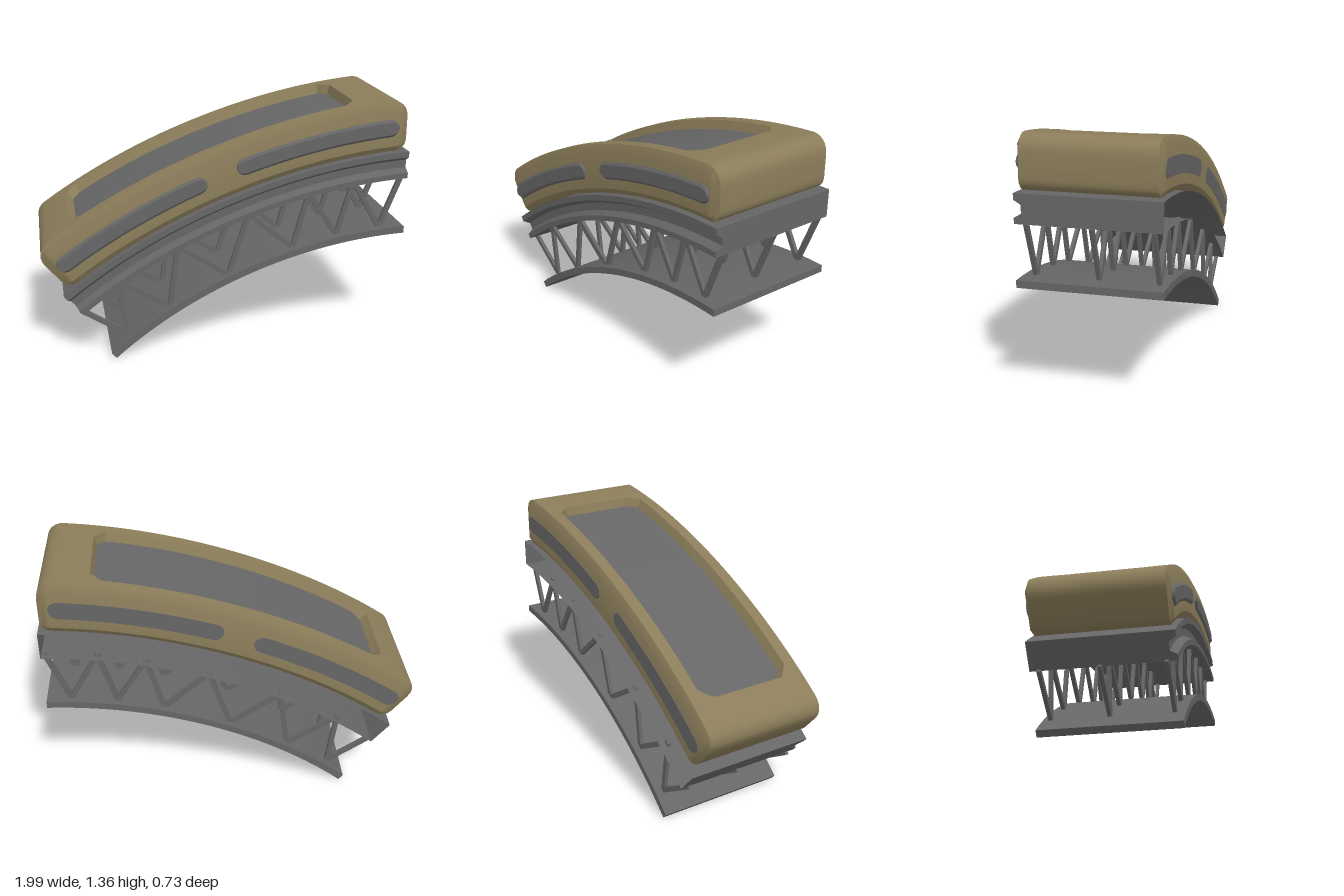
import * as THREE from 'three';
import { toCreasedNormals } from 'three/addons/utils/BufferGeometryUtils.js';

const CX = 1, CY = -1.82;              // common centre of all arcs
const DEG = Math.PI / 180;

const grey = new THREE.MeshStandardMaterial({ color: 0x666666, side: THREE.DoubleSide });
grey.name = 'steelGrey';
const tan = new THREE.MeshStandardMaterial({ color: 0x8b7d5a });
tan.name = 'sandTan';

// polar position: angle (degrees, towards -x), radius, z; the arcs flatten a little mid-span
function bend([a, r, z]) {
  const flat = (0.012 + (r - 2.455) * 0.036) * Math.sin(Math.PI * Math.min(1, a / 40.5));
  return [CX - (r - flat) * Math.sin(a * DEG), CY + (r - flat) * Math.cos(a * DEG), z];
}

const steps = (a, b, n) => Array.from({ length: n + 1 }, (_, i) => a + (b - a) * i / n);

// Capped solid through loops of [angle, radius, z]; slotOf picks each quad's material, -1 leaves it open
function loft(name, sections, materials, slotOf = () => 0) {
  const out = [[], []];
  const put = (slot, ...pts) => pts.forEach(p => out[slot].push(...bend(p)));
  for (let i = 0; i < sections.length - 1; i++) {
    const s = sections[i], t = sections[i + 1], n = s.length;
    for (let j = 0; j < n; j++) {
      const k = (j + 1) % n, slot = slotOf(i, j);
      if (slot >= 0) put(slot, s[j], t[j], t[k], s[j], t[k], s[k]);
    }
  }
  [[sections[0], 1], [sections[sections.length - 1], -1]].forEach(([loop, side]) => {
    const flat = loop.map(p => new THREE.Vector2(p[2], p[1]));
    for (const [a, b, c] of THREE.ShapeUtils.triangulateShape(flat, [])) {
      const area = THREE.ShapeUtils.area([flat[a], flat[b], flat[c]]);
      if (area * side < 0) put(0, loop[a], loop[b], loop[c]);
      else put(0, loop[a], loop[c], loop[b]);
    }
  });
  const geo = new THREE.BufferGeometry();
  geo.setAttribute('position', new THREE.Float32BufferAttribute(out[0].concat(out[1]), 3));
  if (out[1].length) {
    geo.addGroup(0, out[0].length / 3, 0);
    geo.addGroup(out[0].length / 3, out[1].length / 3, 1);
  }
  const mesh = new THREE.Mesh(toCreasedNormals(geo, 0.45), materials);
  mesh.name = name;
  return mesh;
}

// Constant [radius, z] profile swept along an arc
const sweep = (name, profile, a1, slotOf) =>
  loft(name, steps(0, a1, 28).map(a => profile.map(([r, z]) => [a, r, z])), grey, slotOf);

// Drop of a rounded corner of size k at distance d from the end
const round = (d, k) => d >= k ? 0 : k - Math.sqrt(k * k - (k - d) * (k - d));

// Upper body with rounded ends, bevelled sides and a recessed top
function makeBody() {
  const A0 = 0.27, A1 = 39.55, R = 3.19, B = 2.912;
  // angle, opening half width, floor half width, depth
  const recess = [
    [5.04, 0.21, 0.19, 0], [5.39, 0.225, 0.2, 0.05], [6.15, 0.27, 0.25, 0.05],
    [34.0, 0.27, 0.25, 0.05], [34.97, 0.225, 0.2, 0.05], [35.23, 0.21, 0.19, 0],
  ];
  const recessAt = a => {
    if (a <= recess[0][0]) return recess[0];
    for (let i = 1; i < recess.length; i++) {
      const p = recess[i - 1], q = recess[i];
      if (a <= q[0]) return p.map((v, k) => v + (q[k] - v) * (a - p[0]) / (q[0] - p[0]));
    }
    return recess[recess.length - 1];
  };
  const ends = [0, 0.08, 0.25, 0.5, 0.85, 1.25, 1.65];
  const angles = [
    ...ends.map(e => A0 + e), 3.5, 5.04, 5.39, ...steps(6.15, 34, 24), 34.97, 35.23, 36.5,
    ...ends.map(e => A1 - e).reverse(),
  ];
  const sections = angles.map(a => {
    const e = Math.min(a - A0, A1 - a), d = e * DEG * 3.1;
    const top = R - round(d, 0.09), bot = B + round(d, 0.06);
    const z = 0.335 + 0.02 * Math.min(1, e / 0.85);      // side bevel also runs round the ends
    const [, h, f, depth] = recessAt(a);
    return [
      [a, bot + 0.03, -z], [a, top - 0.045, -z], [a, top, -0.335],
      [a, top, -h], [a, top - depth, -f], [a, top - depth, f], [a, top, h],
      [a, top, 0.335], [a, top - 0.045, z], [a, bot + 0.03, z],
      [a, bot, 0.335], [a, bot, -0.335],
    ];
  });
  const floor = (i, j) => (j === 4 && angles[i] >= 5.39 && angles[i + 1] <= 34.97 ? 1 : 0);
  return loft('body', sections, [tan, grey], floor);
}

// Curved pill-shaped inlay on a side of the body
function makeInlay(name, a0, a1, front) {
  const R = 3.045, W = 0.048, capDeg = W / R / DEG;
  const caps = steps(0, 90, 6).map(t => [capDeg * (1 - Math.cos(t * DEG)), W * Math.max(0.16, Math.sin(t * DEG))]);
  const list = [
    ...caps.map(([e, w]) => [a0 + e, w]),
    ...steps(a0 + capDeg, a1 - capDeg, 12).slice(1, -1).map(a => [a, W]),
    ...caps.map(([e, w]) => [a1 - e, w]).reverse(),
  ];
  const sections = list.map(([a, w]) => {
    const v = w * 0.72;
    return front
      ? [[a, R - w, 0.34], [a, R + w, 0.34], [a, R + w, 0.358], [a, R + v, 0.368], [a, R - v, 0.368], [a, R - w, 0.358]]
      : [[a, R - w, -0.358], [a, R + w, -0.358], [a, R + w, -0.34], [a, R - w, -0.34]];
  });
  return loft(name, sections, grey);
}

// Zigzag lattice between the beam and the lower plate
function makeTruss(z) {
  const truss = new THREE.Group();
  truss.name = 'truss';
  const nodes = [
    [-0.795, 0.28], [-0.55, 0.12], [-0.59, 0.433], [-0.31, 0.265], [-0.265, 0.608], [0.015, 0.425],
    [0.125, 0.768], [0.375, 0.555], [0.46, 0.866], [0.625, 0.615], [0.71, 0.918], [0.87, 0.645], [0.985, 0.937],
  ];
  for (let i = 0; i < nodes.length - 1; i++) {
    const [x0, y0] = nodes[i], [x1, y1] = nodes[i + 1];
    const strut = new THREE.Mesh(new THREE.BoxGeometry(Math.hypot(x1 - x0, y1 - y0), 0.027, 0.02), grey);
    strut.position.set((x0 + x1) / 2, (y0 + y1) / 2, z);
    strut.rotation.z = Math.atan2(y1 - y0, x1 - x0);
    strut.name = 'strut';
    truss.add(strut);
  }
  return truss;
}

export function createModel() {
  const model = new THREE.Group();
  model.name = 'curvedSegment';
  model.add(makeBody());

  // side inlays, two per side
  for (const [a0, a1] of [[1.25, 18.4], [21.7, 38.8]]) {
    model.add(makeInlay('frontInlay', a0, a1, true), makeInlay('backInlay', a0, a1, false));
  }

  // hollow beam with a groove along its front and an open back
  model.add(sweep('beam', [
    [2.755, -0.364], [2.905, -0.364], [2.905, 0.362], [2.873, 0.362],
    [2.85, 0.325], [2.807, 0.325], [2.785, 0.362], [2.755, 0.362],
  ], 40.45, (i, j) => (j === 0 ? -1 : 0)));

  // lower plate
  model.add(sweep('lowerPlate', [
    [2.436, -0.364], [2.474, -0.364], [2.474, 0.362], [2.436, 0.362],
  ], 41.63));

  for (const z of [0.307, -0.016, -0.316]) model.add(makeTruss(z));
  return model;
}
